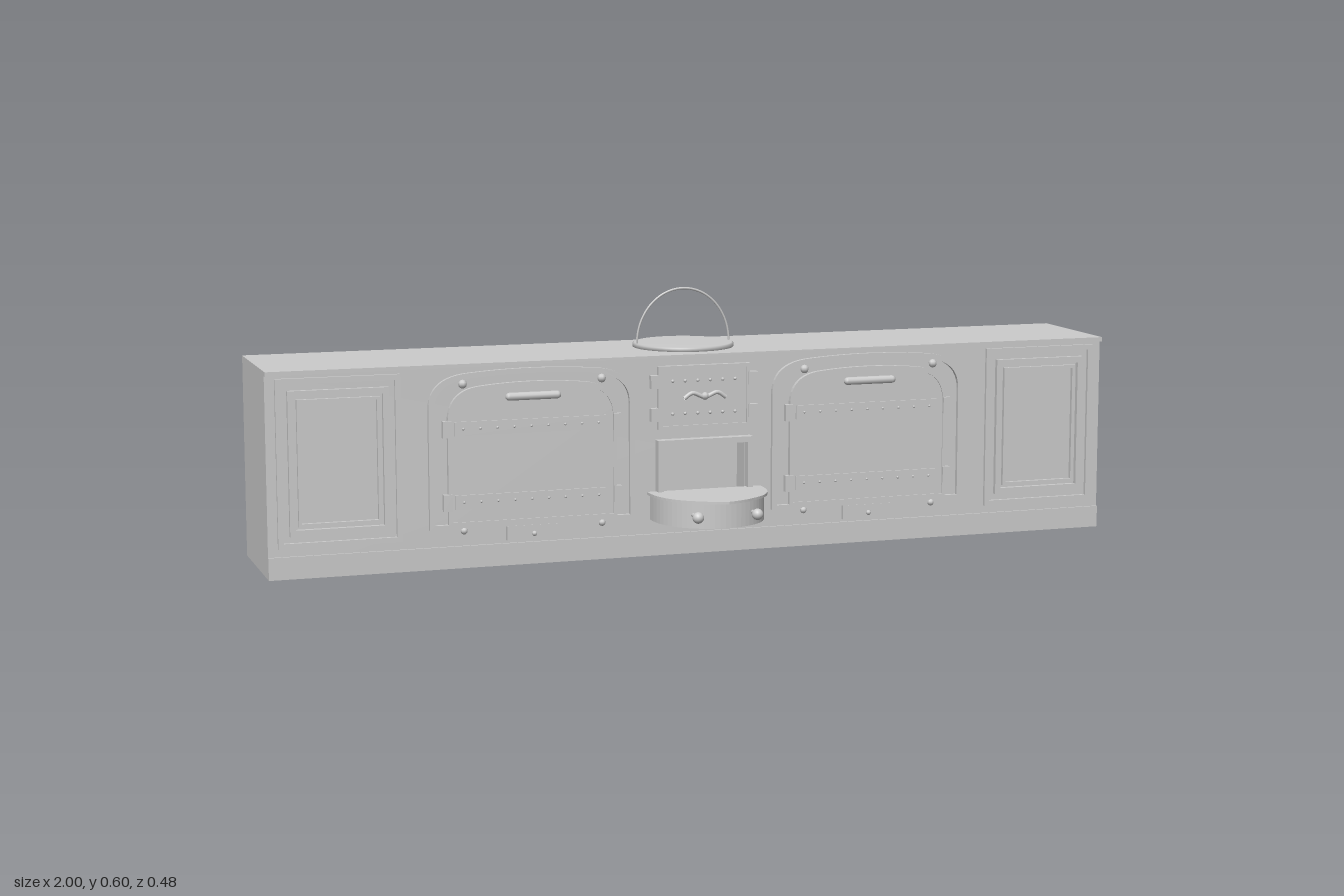
import * as THREE from 'three';

const grey = new THREE.MeshStandardMaterial({ color: 0xcccccc, side: THREE.DoubleSide });

function add(parent, name, geometry, x = 0, y = 0, z = 0) {
  const mesh = new THREE.Mesh(geometry, grey);
  mesh.name = name;
  mesh.position.set(x, y, z);
  parent.add(mesh);
  return mesh;
}

// Box given by its limits on each axis
function slab(parent, name, x0, x1, y0, y1, z0, z1) {
  const g = new THREE.BoxGeometry(x1 - x0, y1 - y0, z1 - z0);
  return add(parent, name, g, (x0 + x1) / 2, (y0 + y1) / 2, (z0 + z1) / 2);
}

function rectShape(x0, x1, y0, y1) {
  return new THREE.Shape([[x0, y0], [x1, y0], [x1, y1], [x0, y1]].map(p => new THREE.Vector2(...p)));
}

// Upright arch with rounded shoulders and a gently bowed top
function archShape(w, y0, spring, top) {
  const s = new THREE.Shape();
  s.moveTo(-w, y0);
  s.lineTo(w, y0);
  s.lineTo(w, spring);
  s.quadraticCurveTo(w, top - 0.012, w * 0.6, top - 0.006);
  s.quadraticCurveTo(0, top + 0.006, -w * 0.6, top - 0.006);
  s.quadraticCurveTo(-w, top - 0.012, -w, spring);
  s.closePath();
  return s;
}

function extrude(shape, z0, z1, hole) {
  if (hole) shape.holes.push(hole);
  const g = new THREE.ExtrudeGeometry(shape, { depth: z1 - z0, bevelEnabled: false, curveSegments: 12 });
  return g.translate(0, 0, z0);
}

function rectFrame(parent, name, hw, y0, y1, t, z0, z1) {
  const g = extrude(rectShape(-hw, hw, y0, y1), z0, z1, rectShape(-hw + t, hw - t, y0 + t, y1 - t));
  return add(parent, name, g);
}

function rivet(parent, x, y, z, r = 0.004) {
  add(parent, 'rivet', new THREE.SphereGeometry(r, 8, 6), x, y, z);
}

function makeOven(x) {
  const oven = new THREE.Group();
  oven.name = 'oven';
  oven.position.x = x;
  add(oven, 'ovenBody', extrude(archShape(0.193, 0.127, 0.33, 0.42), -0.14, 0.047));
  // Rail running round the oven body
  slab(oven, 'ovenRail', -0.196, 0.196, 0.238, 0.25, -0.143, 0.02);
  add(oven, 'archFrame', extrude(archShape(0.238, 0.09, 0.36, 0.445), 0.05, 0.062, archShape(0.226, 0.1, 0.354, 0.434)));
  add(oven, 'ovenDoor', extrude(archShape(0.195, 0.097, 0.33, 0.415), 0.05, 0.06));
  add(oven, 'doorRim', extrude(archShape(0.195, 0.097, 0.33, 0.415), 0.06, 0.063, archShape(0.187, 0.105, 0.326, 0.406)));
  // Strap hinges with rivets
  for (const y of [0.315, 0.15]) {
    slab(oven, 'strapHinge', -0.18, 0.17, y - 0.016, y + 0.016, 0.06, 0.064);
    slab(oven, 'hingeBlock', -0.207, -0.187, y - 0.019, y + 0.019, 0.055, 0.068);
    slab(oven, 'hingeBlock', 0.187, 0.205, y - 0.019, y + 0.019, 0.055, 0.068);
    for (let i = 0; i < 9; i++) rivet(oven, -0.16 + i * 0.039, y, 0.064, 0.003);
  }
  // Pull bar
  add(oven, 'doorHandle', new THREE.CapsuleGeometry(0.009, 0.11, 4, 10).rotateZ(Math.PI / 2), 0, 0.383, 0.067);
  for (const s of [-1, 1]) {
    rivet(oven, s * 0.16, 0.415, 0.062, 0.01);
    rivet(oven, s * 0.16, 0.085, 0.06, 0.008);
  }
  slab(oven, 'damperPlate', -0.062, 0.062, 0.057, 0.09, 0.05, 0.063);
  rivet(oven, 0, 0.071, 0.067, 0.006);
  return oven;
}

function makeCupboard(x) {
  const door = new THREE.Group();
  door.name = 'cupboardDoor';
  door.position.x = x;
  rectFrame(door, 'outerMoulding', 0.138, 0.068, 0.443, 0.012, 0.05, 0.06);
  rectFrame(door, 'innerMoulding', 0.112, 0.095, 0.416, 0.014, 0.05, 0.063);
  rectFrame(door, 'panelMoulding', 0.092, 0.115, 0.396, 0.007, 0.05, 0.061);
  // Matching ridges on the inside face
  rectFrame(door, 'innerFaceMoulding', 0.112, 0.095, 0.416, 0.014, 0.04, 0.047);
  return door;
}

export function createModel() {
  const model = new THREE.Group();
  model.name = 'kitchenRange';

  // Carcass, open at the back and below
  slab(model, 'counterTop', -1, 1, 0.45, 0.46, -0.24, 0.064);
  for (const s of [-1, 1]) slab(model, 'sidePanel', s * 0.997 - 0.003, s * 0.997 + 0.003, 0, 0.455, -0.238, 0.052);
  add(model, 'frontPanel', extrude(rectShape(-1, 1, 0, 0.455), 0.046, 0.052, rectShape(-0.1, 0.1, 0.1, 0.255)));
  slab(model, 'plinth', -1, 1, 0, 0.05, 0.05, 0.057);

  for (const s of [-1, 1]) {
    model.add(makeOven(s * 0.403));
    model.add(makeCupboard(s * 0.84));
  }

  // Firebox, open to the front
  const fire = new THREE.Group();
  fire.name = 'firebox';
  model.add(fire);
  slab(fire, 'fireboxBack', -0.11, 0.11, 0.09, 0.263, -0.02, -0.016);
  slab(fire, 'fireboxTop', -0.11, 0.11, 0.259, 0.263, -0.02, 0.05);
  slab(fire, 'fireboxFloor', -0.11, 0.11, 0.09, 0.094, -0.02, 0.05);
  for (const s of [-1, 1]) slab(fire, 'fireboxSide', s * 0.108 - 0.002, s * 0.108 + 0.002, 0.09, 0.263, -0.02, 0.05);
  rectFrame(fire, 'fireboxFrame', 0.114, 0.09, 0.267, 0.013, 0.05, 0.075);

  // Rounded ash tray with lip and two knobs
  const tray = new THREE.Group();
  tray.name = 'ashTray';
  model.add(tray);
  const halfRound = (rx, rz, peak = 0) => {
    const pts = [];
    for (let i = 0; i <= 32; i++) {
      const a = Math.PI * i / 32;
      const bump = peak * Math.max(0, 1 - Math.abs(Math.cos(a)) * 2);
      pts.push(new THREE.Vector2(rx * Math.cos(a), -(rz * Math.pow(Math.sin(a), 0.8) + bump)));
    }
    return new THREE.Shape(pts);
  };
  const layer = (name, y0, y1, outer, inner) => add(tray, name, extrude(outer, y0, y1, inner).rotateX(-Math.PI / 2), 0, 0, 0.06);
  layer('trayFloor', 0.085, 0.095, halfRound(0.128, 0.153));
  layer('trayWall', 0.085, 0.145, halfRound(0.13, 0.155), halfRound(0.118, 0.14));
  layer('trayLip', 0.143, 0.149, halfRound(0.137, 0.165, 0.012), halfRound(0.114, 0.136));
  for (const s of [-1, 1]) {
    add(tray, 'knobStem', new THREE.CylinderGeometry(0.005, 0.005, 0.035, 10).rotateX(Math.PI / 2), s * 0.07, 0.115, 0.21);
    add(tray, 'knob', new THREE.SphereGeometry(0.013, 16, 12), s * 0.07, 0.115, 0.228);
  }

  // Small fire door above the firebox
  const hatch = new THREE.Group();
  hatch.name = 'fireDoor';
  model.add(hatch);
  slab(hatch, 'fireDoorPanel', -0.11, 0.11, 0.29, 0.435, 0.05, 0.06);
  rectFrame(hatch, 'fireDoorRim', 0.11, 0.29, 0.435, 0.008, 0.06, 0.064);
  for (const y of [0.325, 0.4]) {
    for (const s of [-1, 1]) slab(hatch, 'fireDoorHinge', s * 0.117 - 0.011, s * 0.117 + 0.011, y - 0.015, y + 0.015, 0.05, 0.067);
    for (let i = 0; i < 6; i++) rivet(hatch, -0.075 + i * 0.03, y, 0.06, 0.004);
  }
  const curl = new THREE.CatmullRomCurve3([[-0.05, 0.36], [-0.03, 0.372], [0, 0.362], [0.03, 0.372], [0.05, 0.36]]
    .map(([x, y]) => new THREE.Vector3(x, y, 0.067)));
  add(hatch, 'latch', new THREE.TubeGeometry(curl, 20, 0.005, 8));
  rivet(hatch, 0, 0.364, 0.067, 0.009);

  // Round hot plate cover with hoop handle
  const profile = [[0, 0.458], [0.117, 0.458], [0.117, 0.468], [0.113, 0.47], [0, 0.47]].map(p => new THREE.Vector2(...p));
  add(model, 'hotPlateCover', new THREE.LatheGeometry(profile, 48), 0, 0, -0.093);
  add(model, 'hoopHandle', new THREE.TorusGeometry(0.112, 0.0025, 8, 48, Math.PI).scale(1, 1.12, 1), 0, 0.469, -0.093);

  return model;
}
